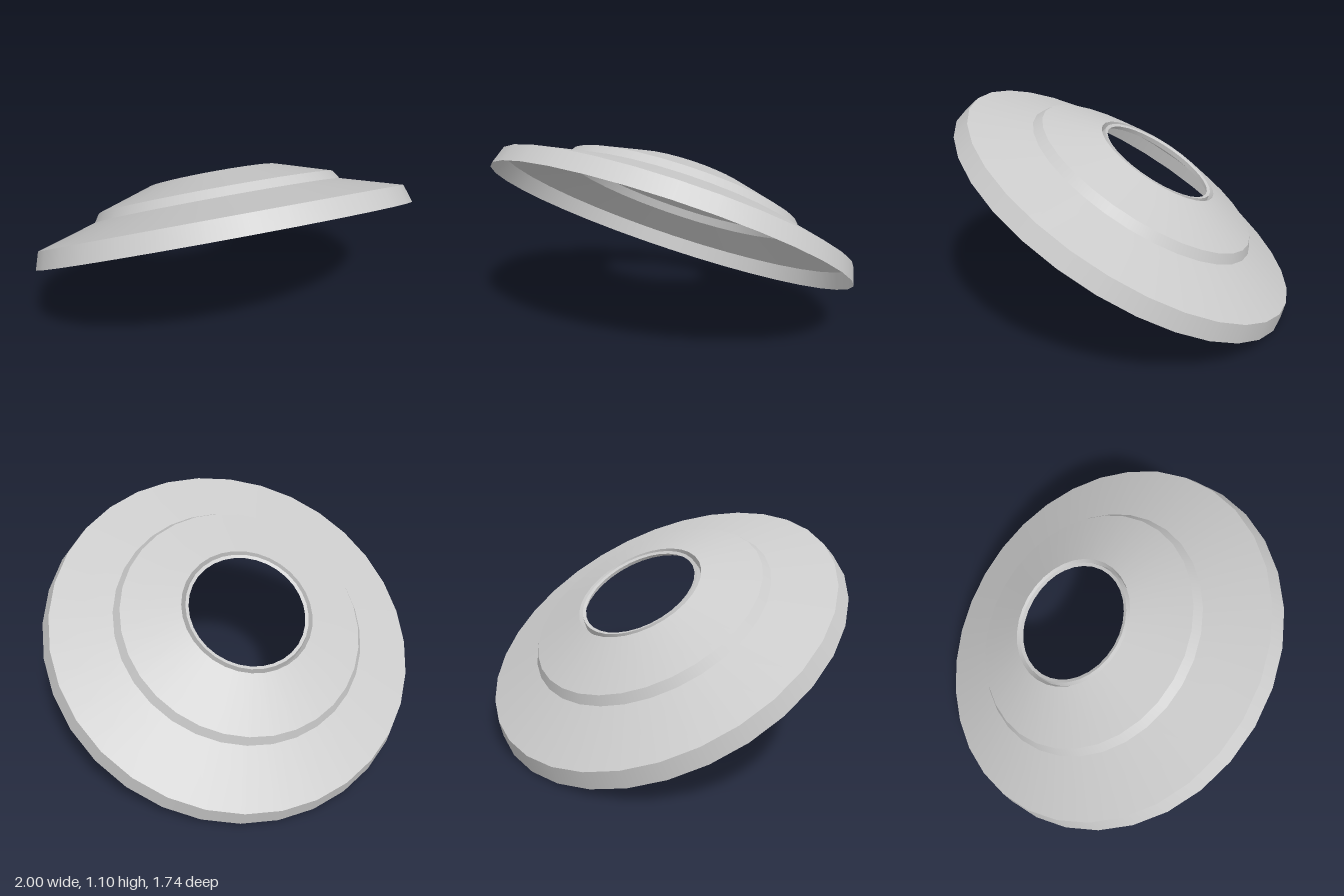
import * as THREE from 'three';

const SEGMENTS = 32;
const material = new THREE.MeshStandardMaterial({ color: 0xcccccc, side: THREE.DoubleSide });

// One conical band per mesh: smooth around, sharp between bands
function band(name, [r0, h0], [r1, h1]) {
  const points = [new THREE.Vector2(r0, h0), new THREE.Vector2(r1, h1)];
  const mesh = new THREE.Mesh(new THREE.LatheGeometry(points, SEGMENTS), material);
  mesh.name = name;
  return mesh;
}

export function createModel() {
  const model = new THREE.Group();
  model.name = 'steppedDisc';

  // Open shell profile as [radius, height], from the outer edge to the hole
  const profile = [
    [1, 0],
    [0.973, 0.092],
    [0.664, 0.186],
    [0.635, 0.231],
    [0.343, 0.326],
    [0.33, 0.29],
    [0.322, 0.326],
    [0.305, 0.321],
  ];
  const names = ['outerRim', 'lowerSlope', 'step', 'upperSlope', 'grooveOuterWall', 'grooveInnerWall', 'holeLip'];

  const disc = new THREE.Group();
  disc.name = 'tiltedShell';
  names.forEach((name, i) => disc.add(band(name, profile[i], profile[i + 1])));

  // Lean the shell back and rest its low edge on the ground
  const tilt = THREE.MathUtils.degToRad(31.1);
  disc.rotation.x = -tilt;
  disc.position.set(0, Math.sin(tilt), 0.012);
  model.add(disc);
  return model;
}
